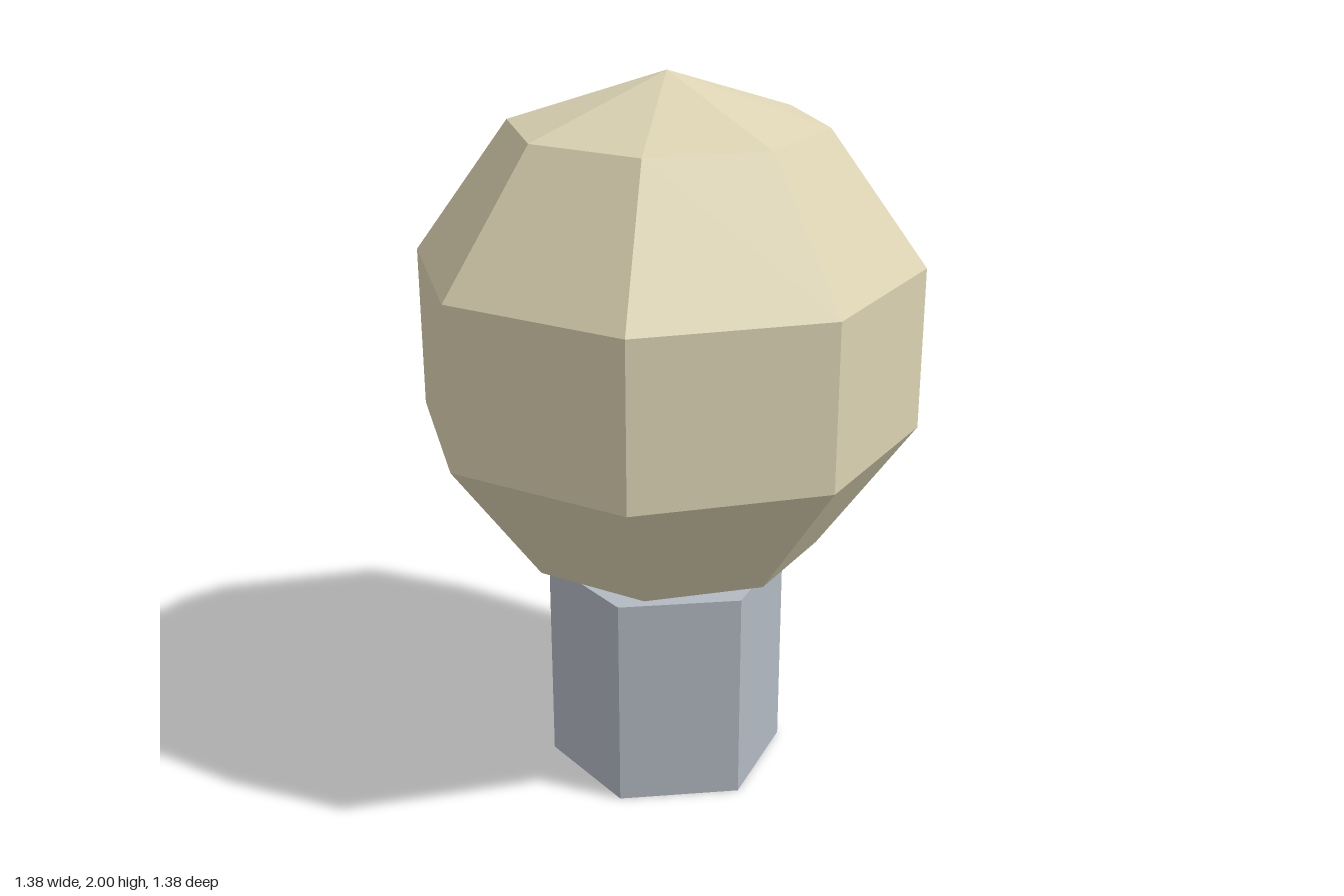
import * as THREE from 'three';

export function createModel() {
  const group = new THREE.Group();
  group.name = 'bulb';

  const cream = new THREE.MeshStandardMaterial({ color: 0xdcd3b3, flatShading: true });
  cream.name = 'cream';
  const grey = new THREE.MeshStandardMaterial({ color: 0xb2b9c2, flatShading: true });
  grey.name = 'blue grey';

  // Faceted globe, its lowest point sunk into the base
  const radius = 0.7255;
  const globe = new THREE.Mesh(new THREE.SphereGeometry(radius, 8, 5), cream);
  globe.name = 'globe';
  globe.position.y = 2 - radius;

  // Hexagonal base with corners pointing to front and back
  const height = 0.61;
  const base = new THREE.Mesh(new THREE.CylinderGeometry(0.338, 0.338, height, 6), grey);
  base.name = 'base';
  base.position.y = height / 2;

  group.add(globe, base);
  return group;
}
